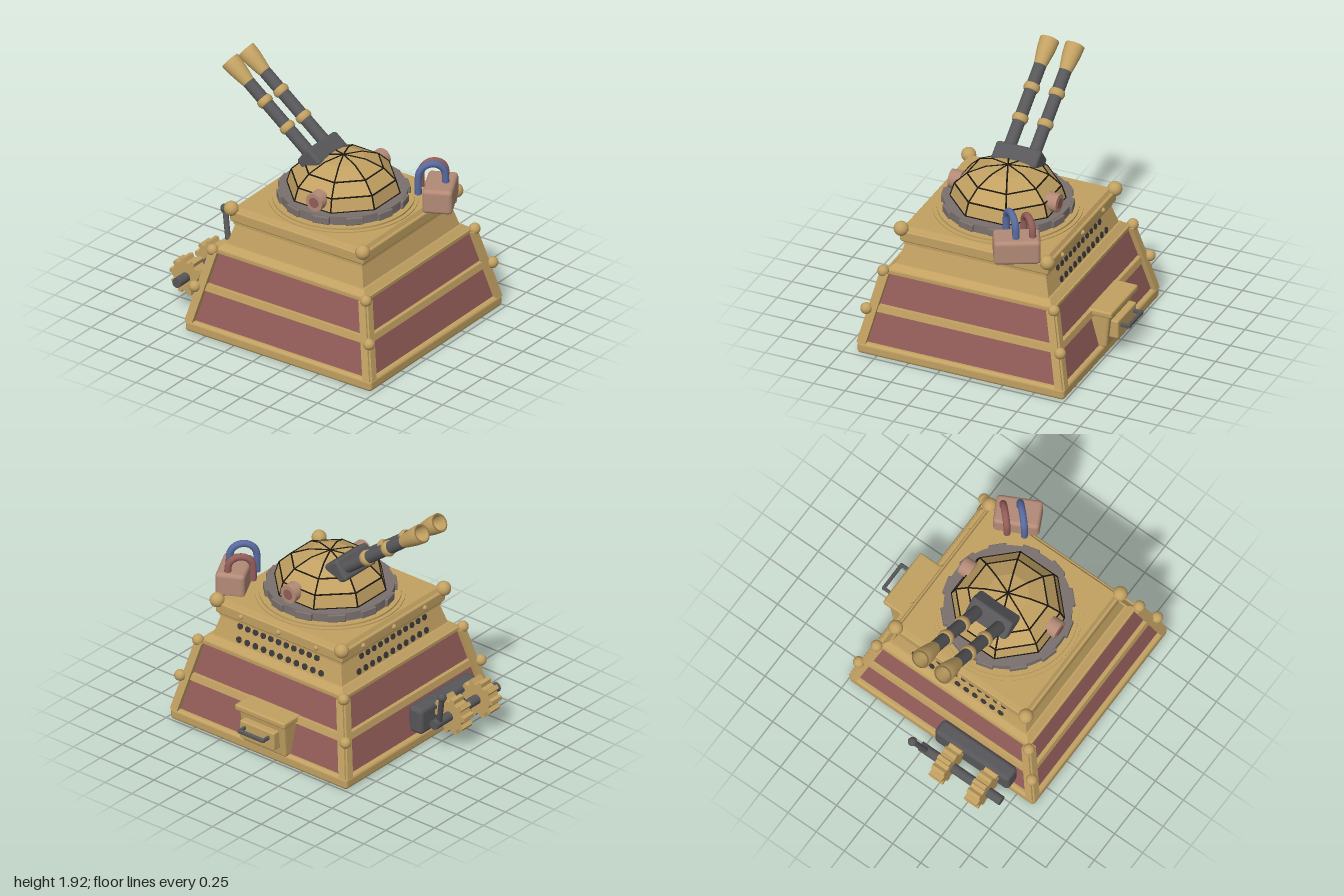
import * as THREE from 'three';
import { RoundedBoxGeometry } from 'three/addons/geometries/RoundedBoxGeometry.js';

const mat = (name, color) => Object.assign(new THREE.MeshStandardMaterial({ color }), { name });
const V = (x, y, z) => new THREE.Vector3(x, y, z);

export function createModel() {
  const gold = mat('brass', 0xc2a162), red = mat('oxblood', 0x935d59), dark = mat('gunmetal', 0x57575a),
    grey = mat('stone grey', 0x7b716e), copper = mat('copper', 0xb38a76), blue = mat('blue', 0x586a9f),
    black = mat('black', 0x1a1612), hole = mat('vent dark', 0x3a3638);
  const root = new THREE.Group();
  root.name = 'turret';
  const tower = new THREE.Group();
  tower.name = 'tower';
  tower.position.set(-0.08, 0, 0.15);
  root.add(tower);

  const add = (parent, name, geo, m, x = 0, y = 0, z = 0) => {
    const mesh = new THREE.Mesh(geo, m);
    mesh.name = name;
    mesh.position.set(x, y, z);
    parent.add(mesh);
    return mesh;
  };
  const flat = (geo) => {
    const g = geo.index ? geo.toNonIndexed() : geo;
    g.computeVertexNormals();
    return g;
  };
  const rbox = (w, h, d, r = 0.02) => new RoundedBoxGeometry(w, h, d, 3, r);
  // Square frustum between two heights, given half widths
  const frustum = (name, y0, y1, h0, h1, m) => {
    const g = new THREE.CylinderGeometry(h1 * Math.SQRT2, h0 * Math.SQRT2, y1 - y0, 4).rotateY(Math.PI / 4);
    return add(tower, name, flat(g), m, 0, (y0 + y1) / 2, 0);
  };
  // Straight rod between two points
  const rod = (parent, name, a, b, r, m, sides = 16) => {
    const d = b.clone().sub(a);
    const mesh = add(parent, name, new THREE.CylinderGeometry(r, r, d.length(), sides), m);
    mesh.position.copy(a).lerp(b, 0.5);
    mesh.quaternion.setFromUnitVectors(V(0, 1, 0), d.normalize());
    return mesh;
  };
  const ball = (parent, name, r, m, x, y, z) => add(parent, name, new THREE.SphereGeometry(r, 20, 14), m, x, y, z);

  // Stepped tapering body
  add(tower, 'plinth', rbox(1.645, 0.09, 1.645, 0.025), gold, 0, 0.05, 0);
  frustum('panels', 0.08, 0.64, 0.787, 0.645, red);
  frustum('middleBand', 0.34, 0.39, 0.75, 0.738, gold);
  frustum('upperBand', 0.63, 0.655, 0.67, 0.67, gold);
  frustum('upperBandStep', 0.655, 0.695, 0.655, 0.615, gold);
  frustum('upperBody', 0.69, 0.88, 0.602, 0.55, gold);
  frustum('slabTrim', 0.845, 0.875, 0.568, 0.568, gold);
  add(tower, 'topSlab', rbox(1.18, 0.09, 1.18, 0.015), gold, 0, 0.917, 0);
  frustum('topPlate', 0.95, 0.99, 0.578, 0.555, gold);

  // Corner posts: two leaning strips per corner, with ball finials
  const lean = (geo, sx, sz) => {
    const p = geo.attributes.position;
    for (let i = 0; i < p.count; i++) {
      const k = -0.23 * p.getY(i);
      p.setX(i, p.getX(i) + sx * k);
      p.setZ(i, p.getZ(i) + sz * k);
    }
    return flat(geo);
  };
  for (const sx of [-1, 1]) for (const sz of [-1, 1]) {
    add(tower, 'cornerPost', lean(new THREE.BoxGeometry(0.06, 0.55, 0.04), sx, sz), gold, sx * 0.72, 0.365, sz * 0.745);
    add(tower, 'cornerPost', lean(new THREE.BoxGeometry(0.04, 0.55, 0.06), sx, sz), gold, sx * 0.745, 0.365, sz * 0.72);
    for (const [h, y, r] of [[0.58, 0.975, 0.055], [0.678, 0.65, 0.043], [0.77, 0.363, 0.043]])
      ball(tower, 'cornerBall', r, gold, sx * h, y, sz * h);
  }

  // Vents and rivets on the left and back walls
  for (const turn of [Math.PI / 2, Math.PI]) {
    const wall = new THREE.Group();
    wall.name = 'ventWall';
    wall.rotation.y = turn;
    tower.add(wall);
    const s = turn === Math.PI ? -1 : 1;
    for (const [y, from, to] of [[0.823, -0.375, 0.34], [0.727, -0.365, 0.4]])
      for (let i = 0; i < 11; i++) {
        const z = 0.602 - (y - 0.69) * 0.274 + 0.002;
        const disc = new THREE.CylinderGeometry(0.024, 0.024, 0.009, 12).rotateX(Math.PI / 2 - 0.267);
        add(wall, 'vent', disc, hole, s * (from + (to - from) * i / 10), y, z);
      }
    for (const x of [-0.35, 0, 0.35]) ball(wall, 'rivet', 0.02, gold, x, 0.92, 0.59);
  }

  // Turning ring
  const disc = (name, r, y0, y1, m) =>
    add(tower, name, new THREE.CylinderGeometry(r, r, y1 - y0, 64), m, 0, (y0 + y1) / 2, 0);
  disc('ringSeat', 0.545, 0.985, 0.998, gold);
  disc('ringSeatStep', 0.515, 0.99, 1.012, gold);
  disc('turningRing', 0.465, 1.0, 1.077, grey);
  for (let i = 0; i < 12; i++) {
    const a = (i + 0.5) * Math.PI / 6;
    const b = add(tower, 'ringBlock', rbox(0.13, 0.06, 0.05, 0.008), grey, Math.sin(a) * 0.457, 1.044, Math.cos(a) * 0.457);
    b.rotation.y = a;
  }

  // Eight-sided dome with dark seams
  const R = 0.418, H = 0.265, Y = 1.077;
  const profile = [0, 1, 2, 3, 4].map((i) => new THREE.Vector2(i === 4 ? 0 : R * Math.cos(i * Math.PI / 8), Y + H * Math.sin(i * Math.PI / 8)));
  add(tower, 'dome', flat(new THREE.LatheGeometry(profile, 8, Math.PI / 8)), gold);
  const node = (i, k) => {
    const a = (k + 0.5) * Math.PI / 4;
    return V(profile[i].x * Math.sin(a), profile[i].y, profile[i].x * Math.cos(a));
  };
  for (let k = 0; k < 8; k++) for (let i = 0; i < 4; i++) {
    rod(tower, 'domeSeam', node(i, k), node(i + 1, k), 0.006, black, 6);
    if (i < 3) rod(tower, 'domeSeam', node(i, k), node(i, k + 1), 0.006, black, 6);
  }

  // Side portholes
  for (const s of [-1, 1]) {
    rod(tower, 'porthole', V(s * 0.34, 1.147, 0.043), V(s * 0.43, 1.147, 0.043), 0.07, copper, 28);
    rod(tower, 'portholeLens', V(s * 0.425, 1.147, 0.043), V(s * 0.434, 1.147, 0.043), 0.04, red, 24);
  }

  // Twin barrels on a tilted mount; the group's own y runs along the barrels
  const guns = new THREE.Group();
  guns.name = 'guns';
  guns.position.set(0, 1.294, -0.187);
  guns.rotation.x = -0.916;
  tower.add(guns);
  add(guns, 'gunMount', rbox(0.36, 0.15, 0.17, 0.025), dark);
  const muzzle = [[0.047, 0], [0.056, 0.05], [0.068, 0.13], [0.073, 0.21], [0.056, 0.21], [0.046, 0.08], [0, 0.08]]
    .map(([x, y]) => new THREE.Vector2(x, y));
  const bead = [[0.046, -0.028], [0.055, -0.024], [0.061, 0], [0.055, 0.024], [0.046, 0.028]].map(([x, y]) => new THREE.Vector2(x, y));
  for (const x of [-0.1, 0.1]) {
    add(guns, 'barrel', new THREE.CylinderGeometry(0.047, 0.047, 0.75, 24), dark, x, 0.4, 0);
    add(guns, 'muzzle', new THREE.LatheGeometry(muzzle, 28), gold, x, 0.73, 0);
    for (const y of [0.3, 0.55]) add(guns, 'barrelBand', new THREE.LatheGeometry(bead, 24), gold, x, y, 0);
  }

  // Copper case with two looped pipes
  const box = add(root, 'copperCase', rbox(0.34, 0.19, 0.22, 0.03), copper, 0.27, 1.065, 0.757);
  box.rotation.y = 0.47;
  for (const [name, m, x, z, top, r] of [['bluePipe', blue, 0.21, 0.725, 1.315, 0.1], ['redPipe', red, 0.318, 0.662, 1.275, 0.092]]) {
    const pts = [V(-r, 1.08, 0), V(-r, top - r - 0.02, 0)];
    for (let i = 1; i < 8; i++) pts.push(V(-r * Math.cos(i * Math.PI / 8), top - r + r * Math.sin(i * Math.PI / 8), 0));
    pts.push(V(r, top - r - 0.02, 0), V(r, 1.08, 0));
    const pipe = add(root, name, new THREE.TubeGeometry(new THREE.CatmullRomCurve3(pts), 48, 0.026, 14), m, x, 0, z);
    pipe.rotation.y = -Math.PI / 4;
  }

  // Feed box on the left wall
  const feed = rbox(0.2, 0.29, 0.42, 0.02), fp = feed.attributes.position;
  for (let i = 0; i < fp.count; i++) {
    const t = 0.5 - fp.getY(i) / 0.29;
    if (fp.getX(i) > 0) fp.setX(i, fp.getX(i) - 0.03 * t);
    fp.setZ(i, fp.getZ(i) * (1 - 0.04 * t));
  }
  feed.computeVertexNormals();
  add(root, 'feedBox', feed, gold, 0.69, 0.228, 0.082);
  add(root, 'feedBoxLid', rbox(0.19, 0.05, 0.465, 0.015), gold, 0.72, 0.375, 0.08);
  add(root, 'feedBoxDoor', rbox(0.09, 0.145, 0.32, 0.012), gold, 0.793, 0.23, 0.085);
  add(root, 'feedBoxHandle', rbox(0.025, 0.035, 0.245, 0.012), dark, 0.9, 0.255, 0.085);
  for (const z of [-0.025, 0.195]) add(root, 'handleProng', rbox(0.07, 0.03, 0.022, 0.008), dark, 0.867, 0.255, z);

  // Gear drive and crank on the back wall
  add(root, 'drivePlate', rbox(0.66, 0.21, 0.13, 0.035), dark, -0.38, 0.225, -0.657);
  rod(root, 'axle', V(-0.75, 0.27, -0.852), V(-0.03, 0.27, -0.852), 0.037, dark, 24);
  const gear = new THREE.Shape();
  for (let i = 0; i < 10; i++) [[-0.3, 0.116], [-0.16, 0.146], [0.16, 0.146], [0.3, 0.116]].forEach(([o, r], j) => {
    const a = (i + o) * Math.PI / 5 + 0.1;
    gear[i + j ? 'lineTo' : 'moveTo'](r * Math.cos(a), r * Math.sin(a));
  });
  for (const x of [-0.63, -0.315]) {
    const g = new THREE.ExtrudeGeometry(gear, { depth: 0.11, bevelEnabled: false }).rotateY(Math.PI / 2);
    add(root, 'gear', g, gold, x, 0.27, -0.852);
  }
  rod(root, 'crankArm', V(-0.085, 0.28, -0.86), V(-0.02, 0.535, -0.938), 0.021, dark);
  ball(root, 'crankKnob', 0.034, dark, -0.02, 0.54, -0.94);
  return root;
}
